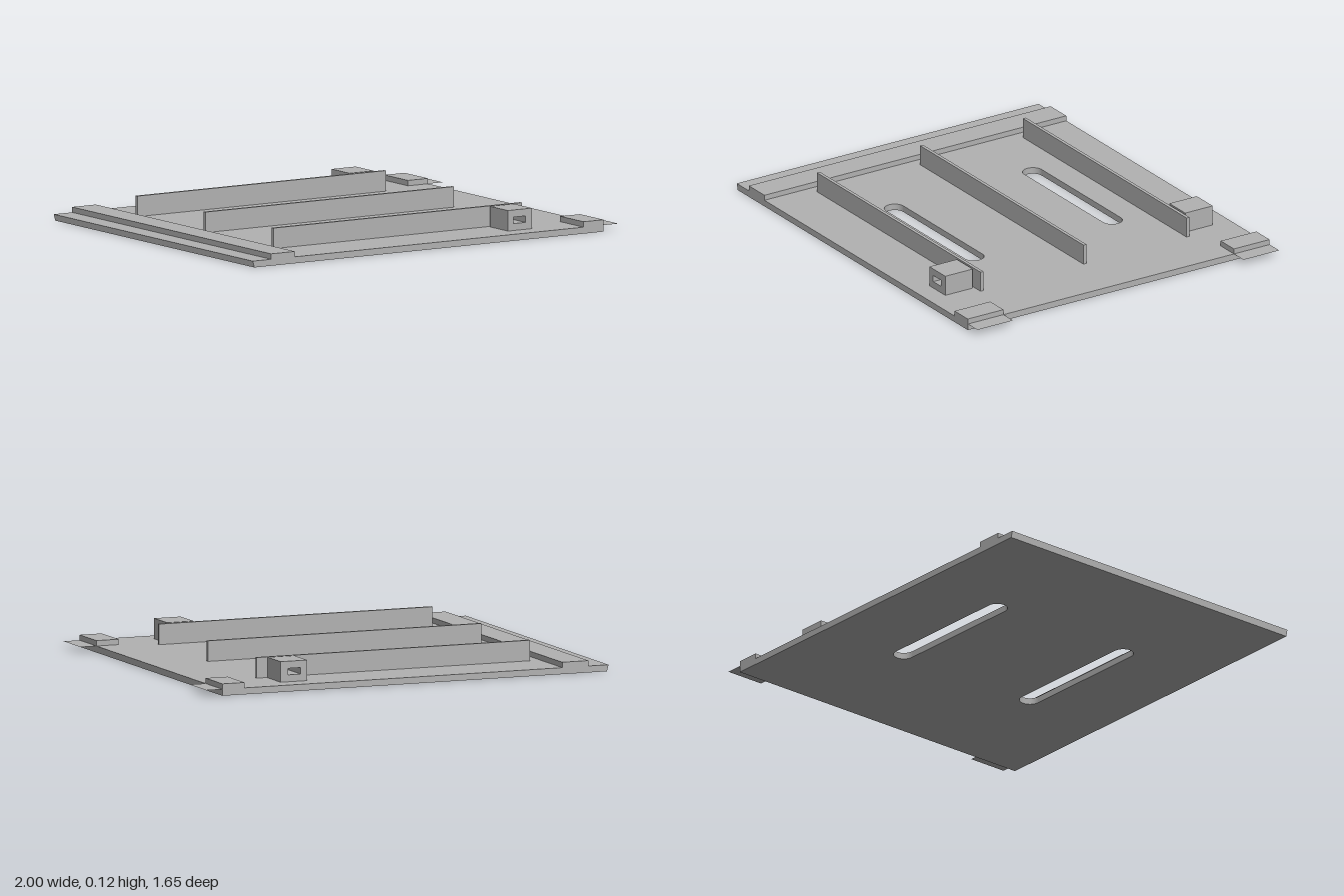
import * as THREE from 'three';

export function createModel() {
  const model = new THREE.Group();
  model.name = 'mountingPlate';
  const grey = new THREE.MeshStandardMaterial({ color: 0xb2b2b2 });
  grey.name = 'plainGrey';
  const greySheet = grey.clone();
  greySheet.side = THREE.DoubleSide;

  const T = 0.03;    // plate thickness
  const Z = 0.825;   // half depth of the plate
  const EDGE = 0.92; // right edge of the plate

  const add = (name, geometry, material = grey) => {
    const mesh = new THREE.Mesh(geometry, material);
    mesh.name = name;
    model.add(mesh);
    return mesh;
  };
  // Box given by its limits on each axis
  const block = (name, x0, x1, y0, y1, z0, z1) =>
    add(name, new THREE.BoxGeometry(x1 - x0, y1 - y0, z1 - z0))
      .position.set((x0 + x1) / 2, (y0 + y1) / 2, (z0 + z1) / 2);
  const rectangle = (shape, x0, x1, y0, y1) =>
    shape.moveTo(x0, y0).lineTo(x1, y0).lineTo(x1, y1).lineTo(x0, y1).closePath();

  // Base plate with two round-ended slots
  const outline = rectangle(new THREE.Shape(), -1, EDGE, -Z, Z);
  const r = 0.048;
  for (const s of [-1, 1]) {
    const slot = new THREE.Path();
    slot.absarc(0.337 - r, s * 0.378, r, -Math.PI / 2, Math.PI / 2, false);
    slot.absarc(-0.415 + r, s * 0.378, r, Math.PI / 2, Math.PI * 1.5, false);
    slot.closePath();
    outline.holes.push(slot);
  }
  const plate = new THREE.ExtrudeGeometry(outline, { depth: T, bevelEnabled: false, curveSegments: 16 });
  plate.rotateX(-Math.PI / 2);
  // Slightly undercut lower left edge
  const p = plate.attributes.position;
  for (let i = 0; i < p.count; i++) {
    if (p.getX(i) < -0.99 && p.getY(i) < 0.01) p.setX(i, -0.992);
  }
  add('basePlate', plate);

  // Raised strip along the left edge
  block('edgeStrip', -0.9, -0.77, T, 0.055, -Z, Z);

  // Three upright ribs
  for (const z of [-0.563, 0, 0.563]) {
    block('rib', -0.72, 0.64, T, 0.125, z - 0.008, z + 0.008);
  }

  for (const s of [-1, 1]) {
    // Corner pad with a thin flap reaching past the plate
    const [z0, z1] = s > 0 ? [0.63, Z] : [-Z, -0.63];
    block('cornerPad', 0.81, EDGE, T, 0.055, z0, z1);
    const flap = new THREE.PlaneGeometry(1 - EDGE, z1 - z0).rotateX(-Math.PI / 2);
    add('cornerFlap', flap, greySheet).position.set((1 + EDGE) / 2, T, (z0 + z1) / 2);

    // Square lug with a rectangular opening
    const face = rectangle(new THREE.Shape(), 0.458, 0.59, T, 0.125);
    face.holes.push(rectangle(new THREE.Path(), 0.49, 0.554, 0.062, 0.092));
    const lug = new THREE.ExtrudeGeometry(face, { depth: 0.15, bevelEnabled: false });
    add('lug', lug).position.z = s > 0 ? 0.581 : -0.731;
  }
  return model;
}
